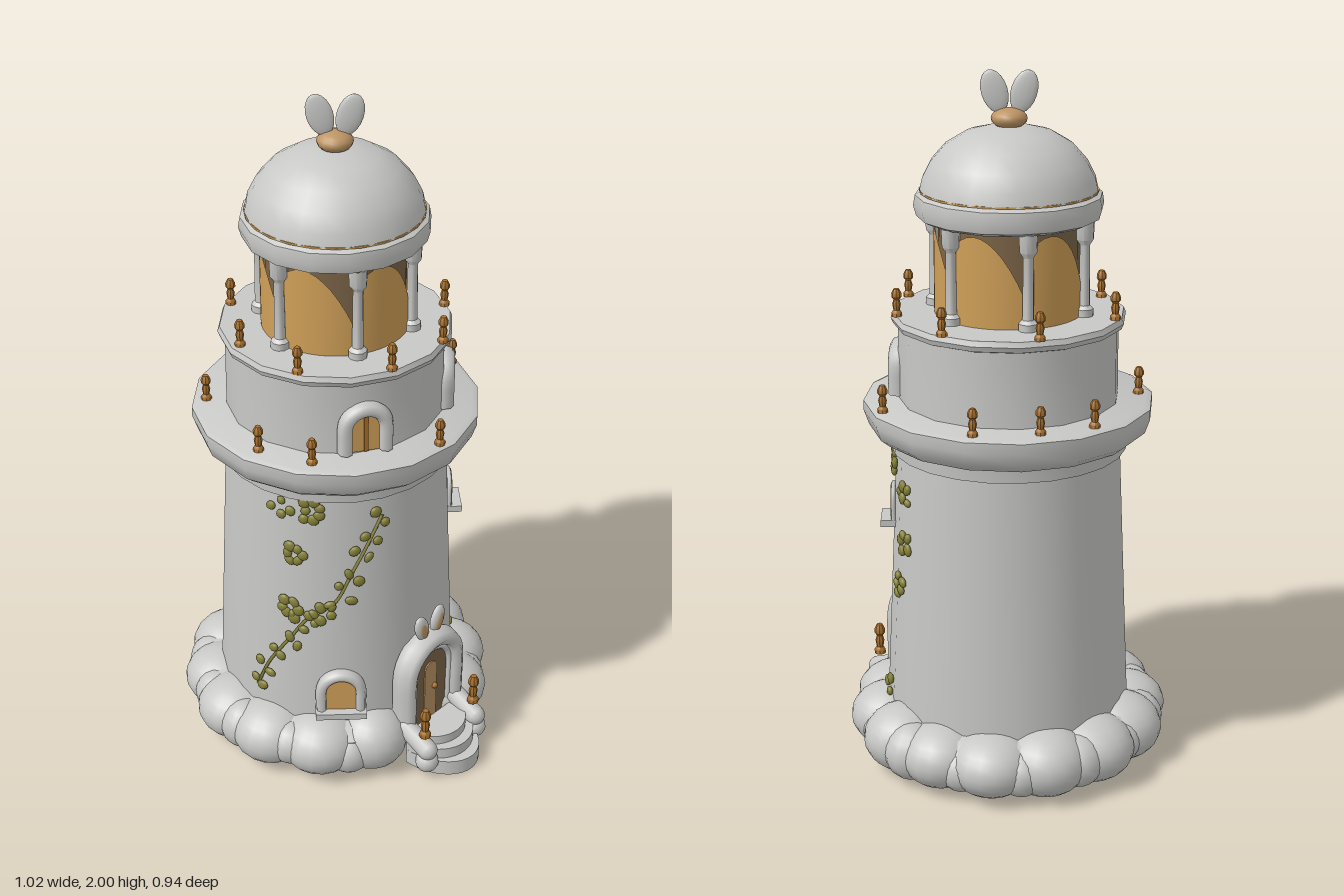
import * as THREE from 'three';
import { toCreasedNormals } from 'three/addons/utils/BufferGeometryUtils.js';

const mat = (name, color) => {
  const m = new THREE.MeshStandardMaterial({ color, side: THREE.DoubleSide });
  m.name = name;
  return m;
};

export function createModel() {
  const model = new THREE.Group();
  const stone = mat('stone', 0xc8c8c6);
  const amber = mat('amber', 0xd0a058);
  const brass = mat('brass', 0xa8702c);
  const tan = mat('tan', 0xbd9564);
  const wood = mat('dark wood', 0x7c6548);
  const leafGreen = mat('leaf green', 0x848038);
  const CX = -0.05;

  let seed = 7;
  const rnd = () => (seed = (seed * 16807) % 2147483647) / 2147483647;
  const rad = THREE.MathUtils.degToRad;

  const add = (name, geo, material, parent = model, x = 0, y = 0, z = 0) => {
    const m = new THREE.Mesh(geo, material);
    m.name = name;
    m.position.set(x, y, z);
    parent.add(m);
    return m;
  };
  const lathe = (pts, seg, ...arc) =>
    toCreasedNormals(new THREE.LatheGeometry(pts.map(p => new THREE.Vector2(p[0], p[1])), seg, ...arc), 0.65);
  const wallRadius = y => 0.355 - 0.035 * (y - 0.2) / 0.75;

  // Group on the wall whose local +z points outwards; angle runs from +x to +z
  const mount = (name, deg, r, y) => {
    const g = new THREE.Group(), a = rad(deg);
    g.name = name;
    g.position.set(CX + r * Math.cos(a), y, r * Math.sin(a));
    g.rotation.y = Math.PI / 2 - a;
    model.add(g);
    return g;
  };

  // Tower, galleries and roof
  const rings = {
    tower: [[[0.358, 0.04], [0.355, 0.2], [0.32, 0.94], [0.336, 0.942], [0.34, 0.99]], 24],
    gallery: [[[0.335, 0.985], [0.37, 0.988], [0.397, 1.01], [0.411, 1.05], [0.411, 1.08], [0.395, 1.088], [0, 1.088]], 16],
    upperDrum: [[[0.312, 1.085], [0.31, 1.305]], 16],
    upperGallery: [[[0.31, 1.3], [0.324, 1.305], [0.33, 1.32], [0.324, 1.335], [0, 1.335]], 16],
    eaves: [[[0, 1.6], [0.235, 1.597], [0.255, 1.607], [0.263, 1.635], [0.258, 1.665], [0.24, 1.675]], 16],
    dome: [[[0.246, 1.675], [0.238, 1.71], [0.215, 1.755], [0.175, 1.8], [0.12, 1.833], [0.06, 1.848], [0, 1.852]], 24],
  };
  for (const [name, [pts, seg]] of Object.entries(rings))
    add(name, lathe(pts, seg), stone, model, CX).rotation.y = rad(6.5);
  add('domeTrim', new THREE.CylinderGeometry(0.247, 0.247, 0.005, 24), amber, model, CX, 1.676);

  // Lantern: six pillars, amber panes with slanting tops over a darker inner wall
  const pillar = lathe([[0.026, 0], [0.026, 0.02], [0.016, 0.03], [0.014, 0.2], [0.024, 0.215], [0.026, 0.265]], 10);
  for (let i = 0; i < 6; i++) {
    const a = i * Math.PI / 3;
    add('lanternPillar', pillar, stone, model, CX + 0.216 * Math.sin(a), 1.335, 0.216 * Math.cos(a));
    const pane = new THREE.CylinderGeometry(0.208, 0.208, 0.26, 10, 1, true, a + 0.04, 0.97);
    const p = pane.attributes.position;
    for (let k = 0; k < p.count; k++) {
      if (p.getY(k) > 0) p.setY(k, 0.12 - 0.12 * ((k % 11) / 10 - 0.3) ** 2 / 0.36);
    }
    pane.computeVertexNormals();
    add('lanternPane', pane, amber, model, CX, 1.465, 0);
  }
  add('lanternInner', new THREE.CylinderGeometry(0.196, 0.196, 0.266, 24, 1, true), wood, model, CX, 1.468);

  // Pair of upright ears spreading along local x
  const ears = (parent, y, h, w, spread, inner) => [-1, 1].forEach(s => {
    const e = add('ear', new THREE.SphereGeometry(1, 14, 10), stone, parent, s * spread, y, 0);
    e.scale.set(w, h, inner ? 0.015 : 0.01);
    e.rotation.z = -s * 0.3;
    if (!inner) return;
    const f = add('innerEar', new THREE.SphereGeometry(1, 12, 8), tan, parent, s * spread, y - 0.004, 0.008);
    f.scale.set(w * 0.6, h * 0.72, 0.009);
    f.rotation.z = -s * 0.3;
  });
  const finial = new THREE.Group();
  finial.name = 'finial';
  finial.position.set(CX, 1.87, 0);
  finial.rotation.y = Math.PI / 4;
  model.add(finial);
  add('finialBall', new THREE.SphereGeometry(0.05, 14, 10), tan, finial).scale.y = 0.58;
  ears(finial, 0.072, 0.06, 0.036, 0.04, false);

  // Railing posts, given as x, z
  const post = lathe([[0, 0], [0.015, 0], [0.015, 0.01], [0.009, 0.018], [0.012, 0.035], [0.008, 0.048],
    [0.014, 0.055], [0.014, 0.066], [0.008, 0.078], [0, 0.08]], 8);
  const posts = (name, y, list) => list.forEach(([x, z]) => add(name, post, brass, model, x, y, z));
  posts('galleryPost', 1.087, [[-0.42, -0.035], [-0.36, -0.18], [-0.245, -0.32], [0.07, -0.365],
    [0.335, -0.01], [0.15, 0.3], [0, 0.355], [-0.3, 0.27]]);
  posts('upperPost', 1.334, [[-0.115, -0.31], [0.115, -0.27], [0.25, -0.11], [0.25, 0.095],
    [0.08, 0.28], [-0.135, 0.285], [-0.325, 0.14], [-0.325, -0.15]]);

  // Arched frame; w is half width, h the straight height, t the thickness
  const archFrame = (g, w, h, t, depth) => {
    const pts = [[-w, 0], [-w, h * 0.5]];
    for (let i = 0; i <= 8; i++) {
      const a = Math.PI * (1 - i / 8);
      pts.push([w * Math.cos(a), h + w * Math.sin(a)]);
    }
    pts.push([w, h * 0.5], [w, 0]);
    const path = new THREE.CatmullRomCurve3(pts.map(p => new THREE.Vector3(p[0], p[1], 0)));
    add('archFrame', new THREE.TubeGeometry(path, 32, t, 8), stone, g).scale.z = depth;
  };
  // Thin arched plate
  const archPlate = (name, g, w, h, material, z = 0) => {
    const s = new THREE.Shape();
    s.moveTo(-w, 0).lineTo(w, 0).lineTo(w, h).absarc(0, h, w, 0, Math.PI).lineTo(-w, 0);
    add(name, new THREE.ExtrudeGeometry(s, { depth: 0.008, bevelEnabled: false, curveSegments: 10 }),
      material, g, 0, 0, z);
  };
  const sill = (g, w) => add('sill', new THREE.BoxGeometry(w, 0.02, 0.05), stone, g, 0, -0.005, 0.012);

  const lower = mount('lowerWindow', 44, 0.353, 0.225);
  archFrame(lower, 0.057, 0.068, 0.017, 1.5);
  archPlate('windowPane', lower, 0.053, 0.068, amber, 0.004);
  sill(lower, 0.15);
  const middle = mount('middleWindow', -47, 0.331, 0.715);
  archFrame(middle, 0.042, 0.058, 0.008, 0.8);
  archPlate('windowPane', middle, 0.042, 0.058, tan);
  sill(middle, 0.1);
  for (const a of [31, -41]) {
    const g = mount('upperWindow', a, 0.307, 1.095);
    archFrame(g, 0.057, 0.073, 0.022, 1.3);
    archPlate('windowPane', g, 0.05, 0.073, amber);
    add('windowBar', new THREE.BoxGeometry(0.012, 0.12, 0.008), brass, g, 0, 0.06, 0.008);
  }

  // Door: double frame, dark panel, lighter leaf, ears above
  const door = new THREE.Group();
  door.name = 'door';
  door.position.set(0.318, 0.1, -0.01);
  door.rotation.y = Math.PI / 2;
  model.add(door);
  archFrame(door, 0.102, 0.2, 0.029, 1.5);
  archFrame(door, 0.081, 0.185, 0.012, 1.8);
  archPlate('doorPanel', door, 0.08, 0.185, wood);
  archPlate('doorLeaf', door, 0.026, 0.19, tan, 0.004);
  add('doorKnob', new THREE.SphereGeometry(0.01, 8, 6), brass, door, 0.015, 0.12, 0.014);
  ears(door, 0.355, 0.046, 0.026, 0.034, true);

  // Steps, side walls and porch posts
  [[0.16, 0.005, 0.055], [0.13, 0.055, 0.09], [0.1, 0.09, 0.12]].forEach(([r, y0, y1]) => {
    const c = new THREE.CylinderGeometry(r, r, y1 - y0, 20, 1, false, 0, Math.PI);
    add('step', c, stone, model, 0.34, (y0 + y1) / 2, -0.01).scale.z = Math.min(1, 0.115 / r);
  });
  for (const s of [-1, 1]) {
    const z = -0.005 + s * 0.108;
    const rail = add('stepWall', new THREE.CapsuleGeometry(0.03, 0.09, 6, 12), stone, model, 0.38, 0.12, z);
    rail.rotation.z = 1.15;
    add('stepWallFoot', new THREE.SphereGeometry(0.035, 12, 10), stone, model, 0.42, 0.06, z);
    add('porchPost', post, brass, model, 0.41, 0.15, z).scale.set(1.15, 1.25, 1.15);
  }

  // Ring of rounded boulders around a softer core, open at the door
  const core = [[0.33, 0.04], [0.4, 0.03], [0.428, 0.06], [0.432, 0.1], [0.42, 0.145], [0.385, 0.172], [0.33, 0.18]];
  add('boulderCore', lathe(core, 40, rad(115), rad(310)), stone, model, CX);
  for (let i = 0; i < 13; i++) {
    const a = rad(28 + i * 25.33), r = 0.108 + 0.018 * rnd();
    const b = add('boulder', new THREE.SphereGeometry(r, 18, 14), stone, model,
      CX + 0.345 * Math.cos(a), 0.103, 0.355 * Math.sin(a));
    b.scale.y = (0.088 + 0.012 * rnd()) / r;
    const a2 = a + 0.22, k = 0.06 + 0.025 * rnd();
    if (i < 12) add('smallBoulder', new THREE.SphereGeometry(k, 14, 10), stone, model,
      CX + 0.383 * Math.cos(a2), 0.08 + 0.035 * rnd(), 0.388 * Math.sin(a2));
  }

  // Climbing vine
  const leafGeo = new THREE.IcosahedronGeometry(1, 1);
  const leaf = (deg, y) => {
    const g = mount('leaf', deg, wallRadius(y) + 0.006, y);
    const m = add('leafBlade', leafGeo, leafGreen, g);
    m.scale.set(0.011 + 0.009 * rnd(), 0.013 + 0.006 * rnd(), 0.009);
    m.rotation.z = rnd() * 3;
  };
  const frontAngle = (x, y) => THREE.MathUtils.radToDeg(Math.acos((x - CX) / wallRadius(y)));
  const stemPoint = (x, y) => {
    const a = rad(frontAngle(x, y)), r = wallRadius(y) + 0.003;
    return new THREE.Vector3(CX + r * Math.cos(a), y, r * Math.sin(a));
  };
  const stem = [[-0.03, 0.25], [0.01, 0.35], [0.08, 0.47], [0.12, 0.54], [0.18, 0.6], [0.21, 0.7], [0.23, 0.78], [0.248, 0.88]];
  const curve = new THREE.CatmullRomCurve3(stem.map(p => stemPoint(...p)));
  add('vineStem', new THREE.TubeGeometry(curve, 40, 0.005, 5), leafGreen);
  for (let i = 0; i < 24; i++) {
    const p = curve.getPoint(i / 23);
    leaf(frontAngle(p.x, p.y) + (i % 2 ? 1 : -1) * (2 + 3 * rnd()), p.y + (rnd() - 0.5) * 0.03);
  }
  // Loose leaf clusters: angle, height, count
  [[frontAngle(0.08, 0.75), 0.755, 6], [frontAngle(0.07, 0.56), 0.565, 6], [frontAngle(0.15, 0.56), 0.56, 4],
    [frontAngle(0.04, 0.9), 0.895, 4], [frontAngle(0.12, 0.9), 0.905, 7], [-53, 0.9, 6], [-73, 0.84, 5],
    [-75, 0.7, 5], [-71, 0.56, 5], [-60, 0.215, 3]].forEach(([a, y, n]) => {
    for (let i = 0; i < n; i++) {
      const t = i / n * Math.PI * 2, d = 0.5 + 0.6 * rnd();
      leaf(a + 5.5 * d * Math.cos(t), y + 0.032 * d * Math.sin(t));
    }
  });

  return model;
}
